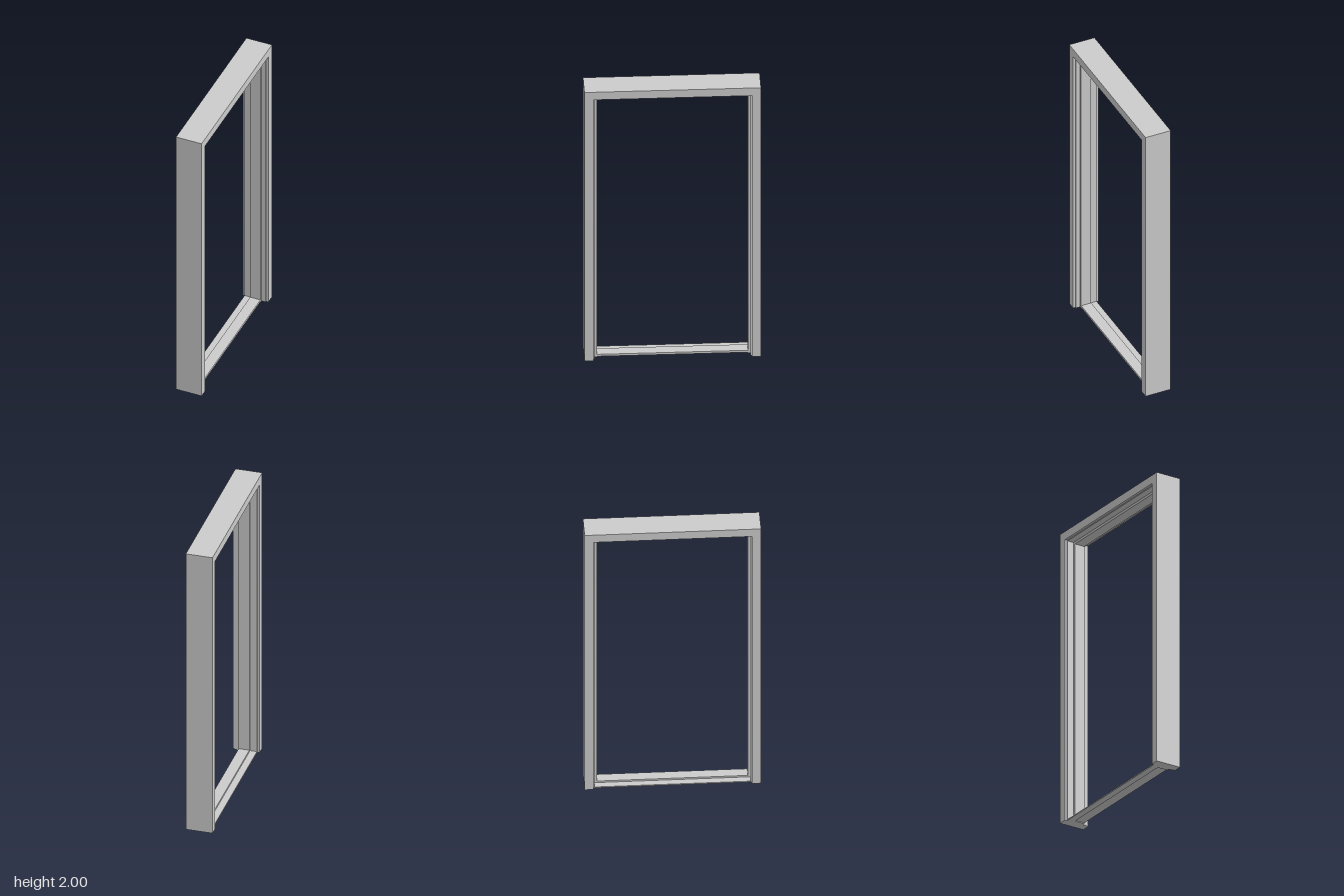
import * as THREE from 'three';

const HEIGHT = 2;
const HALF_SPAN = 0.555;
const material = new THREE.MeshStandardMaterial({ color: 0xcccccc, flatShading: true });

// Sweeps a closed profile of [x, inset] up one jamb, across the head and down the other, with mitred corners
function sweepFrame(profile) {
  const rows = [[1, false], [1, true], [-1, true], [-1, false]];
  const positions = [];
  const indices = [];
  const n = profile.length;
  for (const [side, atTop] of rows) {
    for (const [x, inset] of profile) {
      positions.push(x, atTop ? HEIGHT - inset : 0, side * (HALF_SPAN - inset));
    }
  }
  for (let r = 0; r < rows.length - 1; r++) {
    for (let i = 0; i < n; i++) {
      const j = (i + 1) % n;
      const a = r * n + i, b = r * n + j;
      indices.push(a, b, b + n, a, b + n, a + n);
    }
  }
  // Close both feet
  const outline = profile.map(([x, inset]) => new THREE.Vector2(x, inset));
  for (const [a, b, c] of THREE.ShapeUtils.triangulateShape(outline, [])) {
    indices.push(a, c, b, a + 3 * n, b + 3 * n, c + 3 * n);
  }
  const indexed = new THREE.BufferGeometry();
  indexed.setAttribute('position', new THREE.Float32BufferAttribute(positions, 3));
  indexed.setIndex(indices);
  const geometry = indexed.toNonIndexed();
  geometry.computeVertexNormals();
  return geometry;
}

export function createModel() {
  const model = new THREE.Group();
  model.name = 'doorFrame';

  // Jambs and head: shallow edge rebates with a raised door stop
  const frame = new THREE.Mesh(sweepFrame([
    [-0.0875, 0], [0.0875, 0], [0.0875, 0.057], [0.072, 0.057],
    [0.072, 0.064], [0.043, 0.064], [0.043, 0.08], [-0.027, 0.08],
    [-0.027, 0.064], [-0.072, 0.064], [-0.072, 0.057], [-0.0875, 0.057],
  ]), material);
  frame.name = 'jambsAndHead';
  model.add(frame);

  // Stepped threshold between the feet of the jambs
  const sillShape = new THREE.Shape([
    [-0.072, 0], [-0.027, 0], [-0.027, 0.005], [0.043, 0.005],
    [0.043, 0.02], [-0.027, 0.02], [-0.027, 0.008], [-0.072, 0.008],
  ].map(([x, y]) => new THREE.Vector2(x, y)));
  const sillLength = 0.982;
  const sillGeometry = new THREE.ExtrudeGeometry(sillShape, { depth: sillLength, bevelEnabled: false });
  sillGeometry.translate(0, 0, -sillLength / 2);
  const sill = new THREE.Mesh(sillGeometry, material);
  sill.name = 'threshold';
  model.add(sill);

  return model;
}
